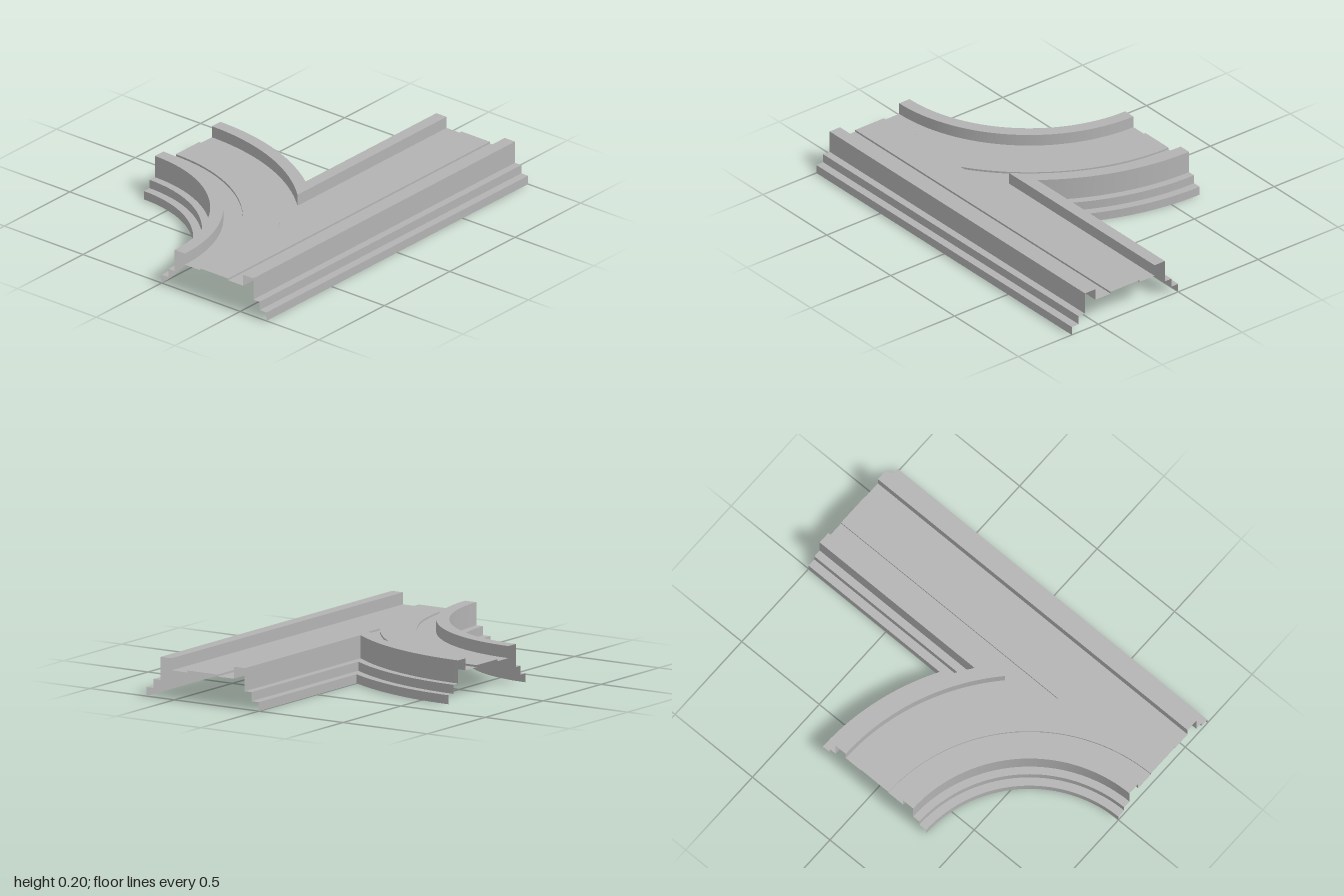
import * as THREE from 'three';

const concrete = new THREE.MeshStandardMaterial({ color: 0xb3b3b3, side: THREE.DoubleSide });
concrete.name = 'concrete grey';

// Half cross-section [distance from centreline, height]: stepped skirt, kerb, gutter, deck rim
const PROFILE = [
  [0.333, 0], [0.333, 0.045], [0.29, 0.045], [0.29, 0.09], [0.25, 0.09],
  [0.25, 0.205], [0.185, 0.205], [0.185, 0.145], [0.09, 0.145], [0.09, 0.155],
];
const DECK = 0.09, DECK_Y = 0.155;
const MAIN_Z = 0.333, END_Z = -0.667; // main road centreline, branch end (also the bend centre, at x = -1)

// Where the branch's outer line crosses the main road's back line
const forkX = (w) => -1 + 2 * Math.sqrt(w);
const forkAngle = (w) => Math.asin((1 - w) / (1 + w));
const onArc = (r, a) => [-1 + r * Math.cos(a), END_Z + r * Math.sin(a)];

// Sweep the profile along a path: path(w, t) gives [x, z]; edges across the profile stay sharp
function sweep(name, path, steps) {
  const pos = [], idx = [];
  for (let k = 0; k < PROFILE.length - 1; k++) {
    const base = pos.length / 3;
    for (let i = 0; i <= steps; i++) {
      for (const [w, y] of [PROFILE[k], PROFILE[k + 1]]) {
        const [x, z] = path(w, i / steps);
        pos.push(x, y, z);
      }
    }
    for (let i = 0; i < steps; i++) {
      const a = base + i * 2;
      idx.push(a, a + 2, a + 3, a, a + 3, a + 1);
    }
  }
  const g = new THREE.BufferGeometry();
  g.setAttribute('position', new THREE.Float32BufferAttribute(pos, 3));
  g.setIndex(idx);
  g.computeVertexNormals();
  const mesh = new THREE.Mesh(g, concrete);
  mesh.name = name;
  return mesh;
}

// Raised road surface covering the main road and the curved branch
function roadDeck() {
  const pts = [[-1, MAIN_Z + DECK], [1, MAIN_Z + DECK], [1, MAIN_Z - DECK]];
  const n = 32, a0 = forkAngle(DECK);
  for (let i = 0; i <= n; i++) pts.push(onArc(1 + DECK, a0 * (1 - i / n)));
  for (let i = 0; i <= n; i++) pts.push(onArc(1 - DECK, (Math.PI / 2) * (i / n)));
  const shape = new THREE.Shape(pts.map(([x, z]) => new THREE.Vector2(x, -z)));
  const g = new THREE.ShapeGeometry(shape);
  g.rotateX(-Math.PI / 2);
  g.translate(0, DECK_Y, 0);
  const mesh = new THREE.Mesh(g, concrete);
  mesh.name = 'roadDeck';
  return mesh;
}

export function createModel() {
  const group = new THREE.Group();
  group.name = 'roadJunction';
  group.add(
    roadDeck(),
    // Straight side along the front
    sweep('frontSide', (w, t) => [-1 + 2 * t, MAIN_Z + w], 1),
    // Tight bend from the branch end to the main road
    sweep('innerBendSide', (w, t) => onArc(1 - w, (t * Math.PI) / 2), 40),
    // Straight back side, mitred at the fork
    sweep('backSide', (w, t) => [1 + (forkX(w) - 1) * t, MAIN_Z - w], 1),
    // Wide bend from the fork to the branch end
    sweep('outerBendSide', (w, t) => onArc(1 + w, forkAngle(w) * (1 - t)), 32),
  );
  return group;
}
